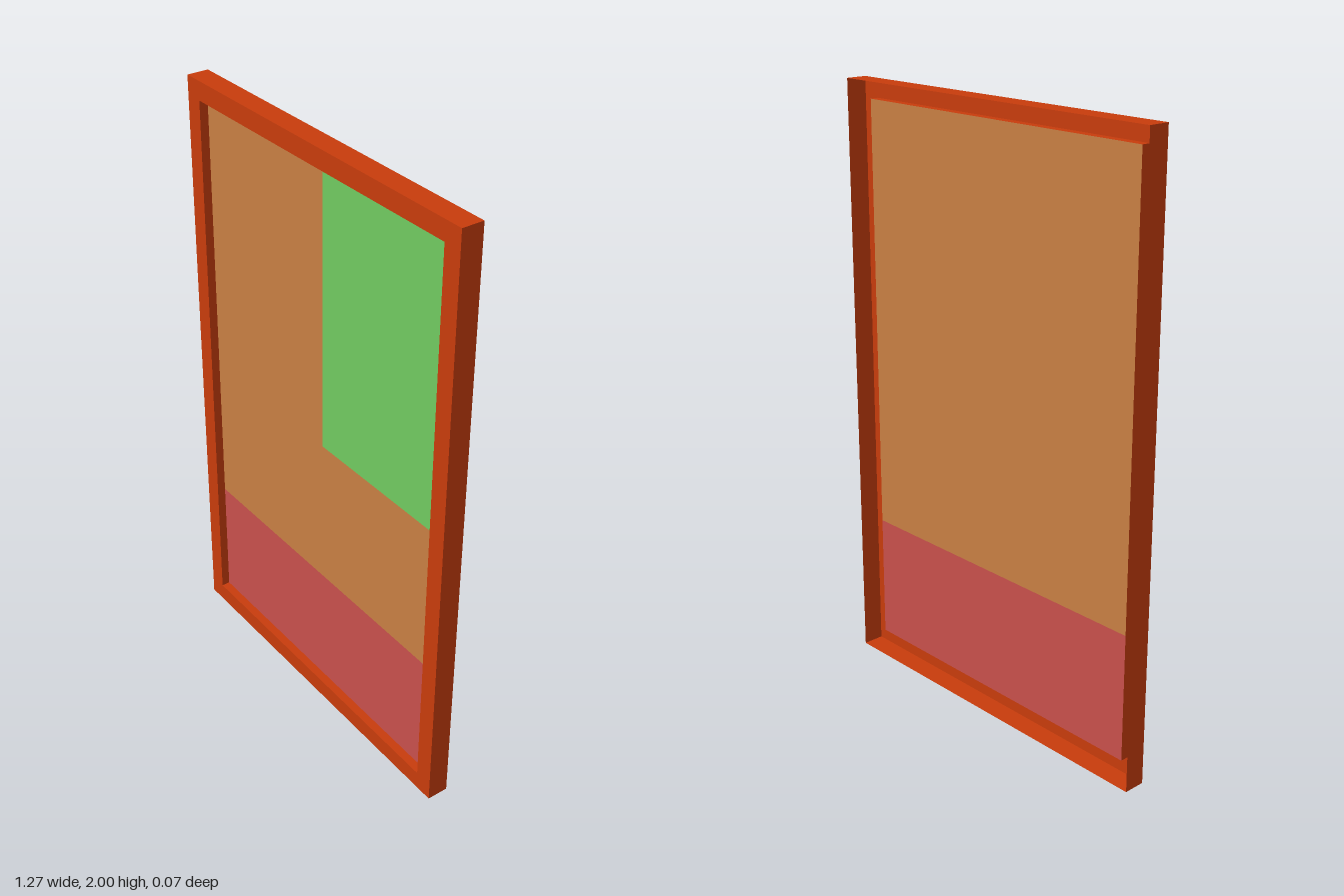
import * as THREE from 'three';

const W = 1.27, H = 2, DEPTH = 0.072;   // outer frame
const RIM = 0.062;                      // face width of the frame
const IW = W - 2 * RIM, IH = H - 2 * RIM;
const FRONT = DEPTH / 2, PANEL_Z = 0.007;

const paint = (color) => new THREE.MeshStandardMaterial({ color, side: THREE.DoubleSide });

function add(parent, name, geometry, material, x = 0, y = 0, z = 0) {
  const mesh = new THREE.Mesh(geometry, material);
  mesh.name = name;
  mesh.position.set(x, y, z);
  parent.add(mesh);
  return mesh;
}

// Four thin walls around a w x h rectangle, running from zBack to zFront
function addWalls(parent, name, w, h, zBack, zFront, material) {
  const depth = zFront - zBack, z = (zFront + zBack) / 2;
  for (const s of [-1, 1]) {
    const side = new THREE.PlaneGeometry(depth, h).rotateY(s * Math.PI / 2);
    add(parent, name + (s > 0 ? 'Left' : 'Right'), side, material, s * w / 2, H / 2, z);
    const level = new THREE.PlaneGeometry(w, depth).rotateX(-s * Math.PI / 2);
    add(parent, name + (s > 0 ? 'Top' : 'Bottom'), level, material, 0, H / 2 + s * h / 2, z);
  }
}

function rectangle(target, w, h) {
  return target.moveTo(-w / 2, -h / 2).lineTo(w / 2, -h / 2)
    .lineTo(w / 2, h / 2).lineTo(-w / 2, h / 2).closePath();
}

export function createModel() {
  const model = new THREE.Group();
  model.name = 'framedPanel';

  // Frame: front face, full-depth outer walls, shallow inner walls, open at the back
  const frame = new THREE.Group();
  frame.name = 'frame';
  model.add(frame);
  const frameMat = paint(0xc83c0c);
  const face = rectangle(new THREE.Shape(), W, H);
  face.holes.push(rectangle(new THREE.Path(), IW, IH));
  add(frame, 'frameFace', new THREE.ShapeGeometry(face), frameMat, 0, H / 2, FRONT);
  addWalls(frame, 'outerWall', W, H, -FRONT, FRONT, frameMat);
  addWalls(frame, 'innerWall', IW, IH, PANEL_Z, FRONT, frameMat);

  // Recessed panel in two colours
  const bottom = RIM, split = 0.49, top = H - RIM;
  add(model, 'lowerPanel', new THREE.PlaneGeometry(IW, split - bottom), paint(0xc8504c),
    0, (bottom + split) / 2, PANEL_Z);
  add(model, 'upperPanel', new THREE.PlaneGeometry(IW, top - split), paint(0xc87f43),
    0, (split + top) / 2, PANEL_Z);

  // Green sheet in the upper corner, just behind the frame face
  const x0 = 0.05, x1 = IW / 2, y0 = 1.03;
  add(model, 'cornerSheet', new THREE.PlaneGeometry(x1 - x0, top - y0), paint(0x71ca60),
    (x0 + x1) / 2, (y0 + top) / 2, 0.031);

  return model;
}
